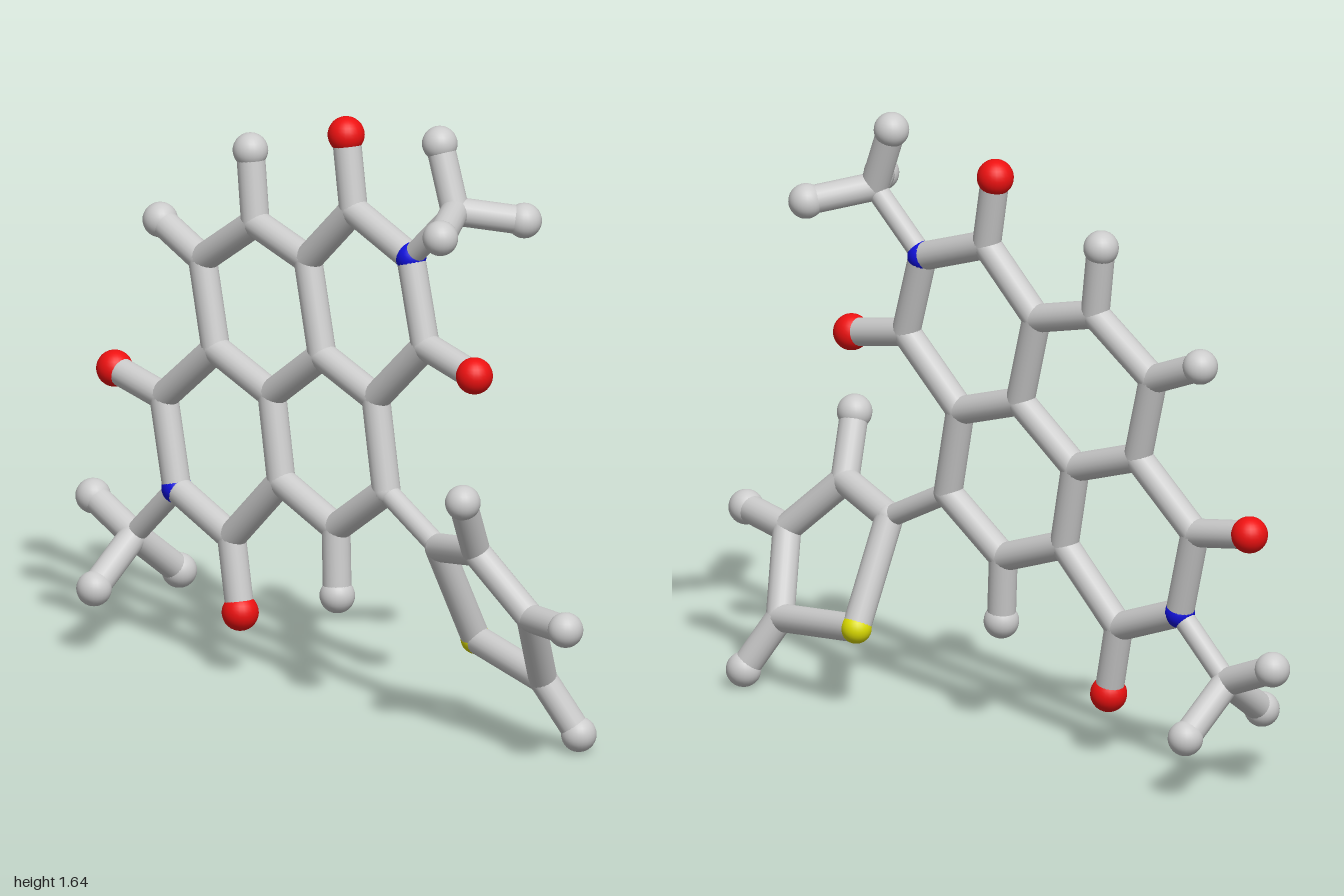
import * as THREE from 'three';

const grey = new THREE.MeshStandardMaterial({ color: 0xcccccc });
const red = new THREE.MeshStandardMaterial({ color: 0xee1111 });
const blue = new THREE.MeshStandardMaterial({ color: 0x1111dd });
const yellow = new THREE.MeshStandardMaterial({ color: 0xdddd00 });

const BOND = 0.038, THIN = 0.029;

// The fused rings lie in one slightly tilted plane, the five-sided ring in another.
const core = (x, y) => [x, y, 0.0325 + 0.0316 * x - 0.052 * y];
const side = (x, y) => [x, y, -0.318 + 0.21 * x + 0.4885 * y];

const atoms = {
  // fused ring carbons and nitrogens
  c1: core(0.02, 1.345), n1: core(0.25, 1.265), c2: core(0.32, 1.04), c3: core(0.135, 0.86),
  c4: core(-0.08, 0.93), c5: core(-0.15, 1.175), c6: core(-0.36, 1.23), c7: core(-0.56, 1.09),
  c8: core(-0.495, 0.86), c9: core(-0.27, 0.785), c10: core(-0.69, 0.69), n2: core(-0.625, 0.455),
  c11: core(-0.405, 0.37), c12: core(-0.22, 0.56), c13: core(0, 0.48), c14: core(0.19, 0.62),
  // oxygens and hydrogens in the same plane
  o1: core(-0.02, 1.54), o2: core(0.515, 1.0), o3: core(-0.885, 0.725), o4: core(-0.36, 0.175),
  h6: core(-0.39, 1.42), h7: core(-0.73, 1.16), h13: core(0.015, 0.3),
  // methyl groups
  m1: core(0.415, 1.425), hm1a: [0.35, 1.595, -0.035], hm1b: [0.525, 1.405, 0.13], hm1c: [0.53, 1.395, -0.17],
  m2: core(-0.785, 0.295), hm2a: [-0.953, 0.365, -0.02], hm2b: [-0.772, 0.182, 0.15], hm2c: [-0.77, 0.172, -0.158],
  // five-sided side ring
  t1: side(0.4, 0.51), s: side(0.4, 0.235), t2: side(0.7, 0.195), t3: side(0.775, 0.4), t4: side(0.61, 0.555),
  ht2: side(0.78, 0.05), ht3: side(0.953, 0.413), ht4: side(0.65, 0.715),
};

// Chains of bonded atoms, with a bond radius for each
const chains = [
  ['imideRingUpper', 'c1 n1 c2 c3 c4 c5 c1', BOND],
  ['ringUpperLeft', 'c5 c6 c7 c8 c9 c4', BOND],
  ['imideRingLower', 'c8 c10 n2 c11 c12 c9', BOND],
  ['ringLowerRight', 'c12 c13 c14 c3', BOND],
  ['sideRing', 't1 s t2 t3 t4 t1', BOND],
  ['sideRingLink', 'c14 t1', THIN],
  ['methylLinkUpper', 'n1 m1', THIN],
  ['methylLinkLower', 'n2 m2', THIN],
  ...['c1 o1', 'c2 o2', 'c10 o3', 'c11 o4'].map(c => ['oxygenBond', c, BOND]),
  ...['c6 h6', 'c7 h7', 'c13 h13', 't2 ht2', 't3 ht3', 't4 ht4'].map(c => ['hydrogenBond', c, BOND]),
  ...['m1 hm1a', 'm1 hm1b', 'm1 hm1c', 'm2 hm2a', 'm2 hm2b', 'm2 hm2c'].map(c => ['methylBond', c, BOND]),
];

// Name, material and radius by the first letter of the atom's key
const styles = {
  o: ['oxygen', red, 0.049],
  n: ['nitrogen', blue, 0.041],
  s: ['sulfur', yellow, 0.041],
  h: ['hydrogen', grey, 0.047],
  c: ['carbon', grey, BOND],
  m: ['methylCarbon', grey, BOND],
  t: ['sideRingCarbon', grey, BOND],
};

function makeBond(a, b, radius) {
  const p = new THREE.Vector3(...a), q = new THREE.Vector3(...b);
  const dir = q.clone().sub(p);
  const mesh = new THREE.Mesh(new THREE.CylinderGeometry(radius, radius, dir.length(), 20, 1, true), grey);
  mesh.name = 'bond';
  mesh.position.copy(p).add(q).multiplyScalar(0.5);
  mesh.quaternion.setFromUnitVectors(new THREE.Vector3(0, 1, 0), dir.normalize());
  return mesh;
}

export function createModel() {
  const model = new THREE.Group();
  model.name = 'molecule';

  // Bonds
  for (const [name, path, radius] of chains) {
    const group = new THREE.Group();
    group.name = name;
    const keys = path.split(' ');
    for (let i = 1; i < keys.length; i++) {
      group.add(makeBond(atoms[keys[i - 1]], atoms[keys[i]], radius));
    }
    model.add(group);
  }

  // Atoms
  for (const [key, pos] of Object.entries(atoms)) {
    const [name, material, radius] = styles[key[0]];
    const ball = new THREE.Mesh(new THREE.SphereGeometry(radius, 24, 16), material);
    ball.name = name;
    ball.position.set(...pos);
    model.add(ball);
  }
  return model;
}
